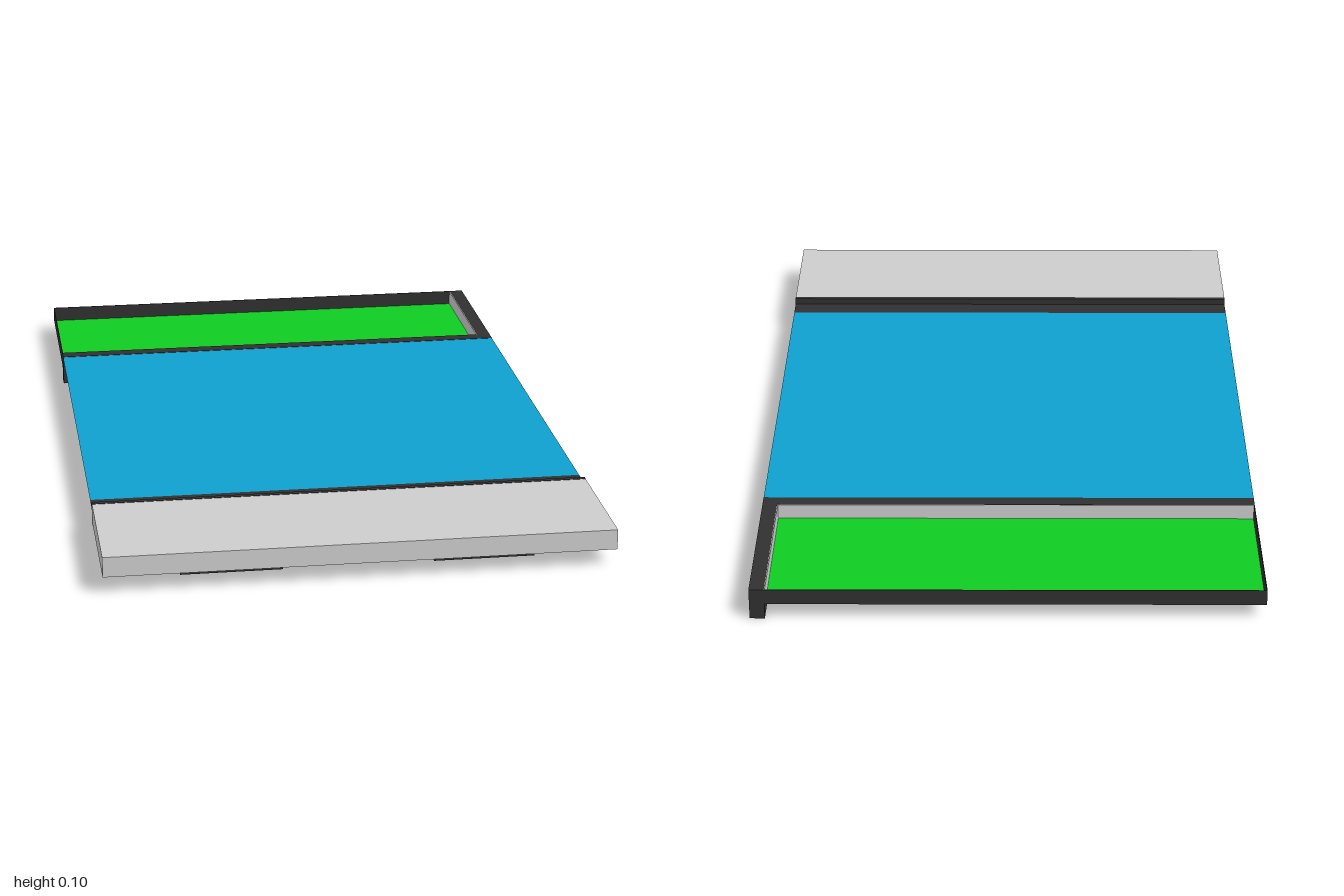
import * as THREE from 'three';

const material = (name, color, side = THREE.FrontSide) =>
  new THREE.MeshStandardMaterial({ name, color, side });

export function createModel() {
  const model = new THREE.Group();
  model.name = 'corridorSection';

  const dark = material('charcoal', 0x303030, THREE.DoubleSide);
  const light = material('lightGrey', 0xcccccc, THREE.DoubleSide);
  const blue = material('blue', 0x0ea0ce, THREE.DoubleSide);
  const green = material('green', 0x0fcc22, THREE.DoubleSide);

  // Box given by its extents along each axis
  function block(name, mat, [x0, x1], [y0, y1], [z0, z1], parent = model) {
    const mesh = new THREE.Mesh(new THREE.BoxGeometry(x1 - x0, y1 - y0, z1 - z0), mat);
    mesh.position.set((x0 + x1) / 2, (y0 + y1) / 2, (z0 + z1) / 2);
    mesh.name = name;
    parent.add(mesh);
    return mesh;
  }

  // Flat horizontal sheet at one height
  function sheet(name, mat, [x0, x1], y, [z0, z1], parent = model) {
    const geometry = new THREE.PlaneGeometry(x1 - x0, z1 - z0).rotateX(-Math.PI / 2);
    const mesh = new THREE.Mesh(geometry, mat);
    mesh.position.set((x0 + x1) / 2, y, (z0 + z1) / 2);
    mesh.name = name;
    parent.add(mesh);
    return mesh;
  }

  const W = 0.627;
  const thin = 0.002;

  // Main deck and its dark front strip
  sheet('deck', blue, [-W, W], 0.079, [-0.535, 0.585]);
  sheet('deckStrip', dark, [-W, W], 0.079, [0.585, 0.645]);

  // Front slab with the upright plate behind it
  block('frontSlab', light, [-W, W], [0.044, 0.095], [0.656, 1]);
  block('slabBackPlate', dark, [-W, W], [0.038, 0.096], [0.643, 0.656]);

  // Rear tray: L-shaped wall, recessed floor and thin outer rim
  const tray = new THREE.Group();
  tray.name = 'rearTray';
  model.add(tray);
  block('trayFrontWall', dark, [-W, W], [0, 0.08], [-0.572, -0.535], tray);
  block('traySideWall', dark, [0.59, W], [0, 0.08], [-1, -0.572], tray);
  sheet('trayFloor', green, [-W, 0.59], 0.04, [-1, -0.572], tray);
  block('trayBackRim', dark, [-W, 0.59], [0.04, 0.08], [-1, -1 + thin], tray);
  block('trayEndRim', dark, [-W, -W + thin], [0.04, 0.08], [-1, -0.572], tray);
  block('frontWallLining', light, [-W + thin, 0.59], [0.041, 0.0795], [-0.574, -0.572], tray);
  block('sideWallLining', light, [0.588, 0.59], [0.041, 0.0795], [-1 + thin, -0.574], tray);

  // Two framed pads under the slab
  for (const side of [-1, 1]) {
    const pad = new THREE.Group();
    pad.name = side > 0 ? 'leftPad' : 'rightPad';
    pad.position.set(side * 0.311, 0, 0.857);
    model.add(pad);
    const hx = 0.125, hz = 0.078, t = 0.026, y = [0.012, 0.044];
    for (const s of [-1, 1]) {
      const cz = s * (hz - t / 2), cx = s * (hx - t / 2);
      block('padLongRail', dark, [-hx, hx], y, [cz - t / 2, cz + t / 2], pad);
      block('padShortRail', dark, [cx - t / 2, cx + t / 2], y, [-hz + t, hz - t], pad);
    }
    sheet('padFace', green, [-hx + t, hx - t], 0.04, [-hz + t, hz - t], pad);
  }

  return model;
}
